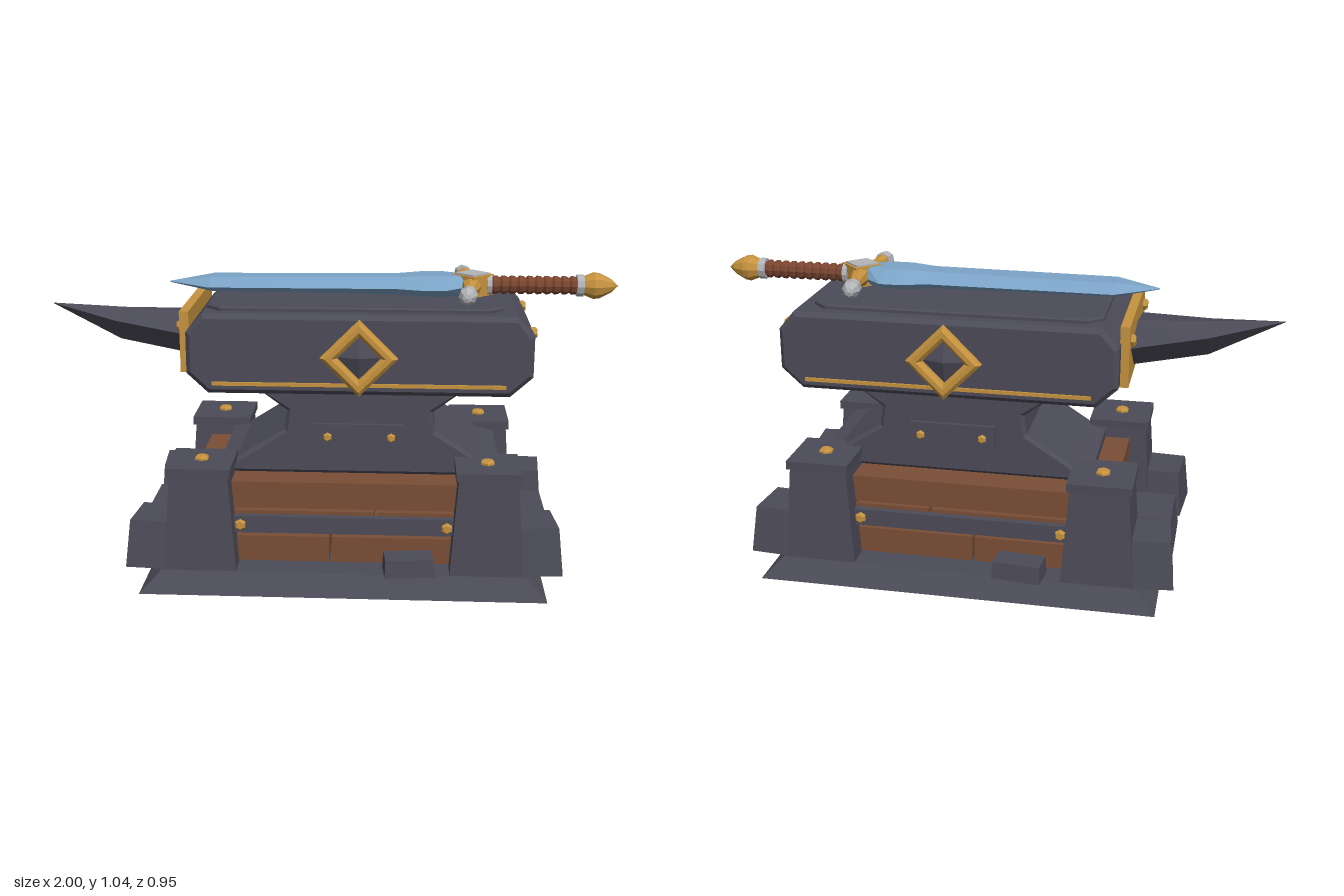
import * as THREE from 'three';

const paint = (name, color) => {
  const m = new THREE.MeshStandardMaterial({ color });
  m.name = name;
  return m;
};

export function createModel() {
  const root = new THREE.Group();
  root.name = 'anvilWithSword';
  const iron = paint('darkIron', 0x4c4b58);
  const wood = paint('wood', 0x7a4e36);
  const gold = paint('gold', 0xc6933f);
  const steel = paint('blueSteel', 0x7ba3c6);
  const silver = paint('silver', 0xb2b4b8);
  const leather = paint('leather', 0x7a4630);

  // ---- helpers ----
  const add = (name, geo, mat, x = 0, y = 0, z = 0, parent = root) => {
    const m = new THREE.Mesh(geo, mat);
    m.name = name;
    m.position.set(x, y, z);
    parent.add(m);
    return m;
  };
  const flat = (g) => {
    const f = g.index ? g.toNonIndexed() : g;
    f.computeVertexNormals();
    return f;
  };
  // box given by its limits
  const block = (name, mat, x0, x1, y0, y1, z0, z1) =>
    add(name, new THREE.BoxGeometry(x1 - x0, y1 - y0, z1 - z0), mat, (x0 + x1) / 2, (y0 + y1) / 2, (z0 + z1) / 2);
  // box standing on y = 0 whose top is smaller
  const taper = (w, d, tw, td, h) => {
    const g = new THREE.BoxGeometry(w, h, d);
    const p = g.attributes.position;
    for (let i = 0; i < p.count; i++) {
      if (p.getY(i) > 0) p.setXYZ(i, p.getX(i) * tw / w, h / 2, p.getZ(i) * td / d);
    }
    g.translate(0, h / 2, 0);
    return flat(g);
  };
  const shapeOf = (pts) => new THREE.Shape(pts.map(([x, y]) => new THREE.Vector2(x, y)));
  // outline extruded to +-half in depth with a small chamfer
  const slab = (shape, half, bevel) => {
    const g = new THREE.ExtrudeGeometry(shape, {
      depth: 2 * (half - bevel), bevelEnabled: true, bevelSegments: 1,
      bevelThickness: bevel, bevelSize: bevel, bevelOffset: -bevel,
    });
    return flat(g.translate(0, 0, -(half - bevel)));
  };
  // skin over rings that follow each other along +x, rings run from +y to +z
  const loft = (rings) => {
    const v = [];
    const tri = (...pts) => pts.forEach((p) => v.push(...p));
    const n = rings[0].length;
    for (let r = 0; r + 1 < rings.length; r++) {
      for (let i = 0; i < n; i++) {
        const j = (i + 1) % n, a = rings[r], b = rings[r + 1];
        tri(a[i], a[j], b[j]);
        tri(a[i], b[j], b[i]);
      }
    }
    const first = rings[0], last = rings[rings.length - 1];
    for (let i = 1; i + 1 < n; i++) {
      tri(first[0], first[i + 1], first[i]);
      tri(last[0], last[i], last[i + 1]);
    }
    const g = new THREE.BufferGeometry();
    g.setAttribute('position', new THREE.Float32BufferAttribute(v, 3));
    g.computeVertexNormals();
    return g;
  };
  const turned = (pts, sides) =>
    flat(new THREE.LatheGeometry(pts.map(([r, y]) => new THREE.Vector2(r, y)), sides));
  const UP = new THREE.Vector3(0, 1, 0);
  const aim = (mesh, x, y, z) => mesh.quaternion.setFromUnitVectors(UP, new THREE.Vector3(x, y, z).normalize());
  const bolt = (r, x, y, z, dx, dy, dz) =>
    aim(add('bolt', turned([[0, -0.01], [r, -0.01], [r, 0.006], [r * 0.7, 0.013], [0, 0.013]], 6), gold, x, y, z), dx, dy, dz);

  // ---- base with corner posts and stones ----
  const CX = 0.06;
  add('basePlate', taper(1.39, 0.95, 1.25, 0.86, 0.07), iron, CX);
  for (const sx of [-1, 1]) {
    for (const sz of [-1, 1]) {
      const x = CX + sx * 0.49, z = sz * 0.305;
      add('cornerPost', taper(0.25, 0.235, 0.2, 0.205, 0.34), iron, x, 0.07, z);
      block('postCap', iron, x - 0.11, x + 0.11, 0.405, 0.435, z - 0.113, z + 0.113);
      bolt(0.026, x, 0.436, z, 0, 1, 0);
      const stone = add('cornerStone', taper(0.2, 0.225, 0.17, 0.175, 0.165), iron, CX + sx * 0.642, 0.07, sz * 0.303);
      stone.rotation.y = 0.08 * sx * sz;
    }
    add('middleStone', taper(0.2, 0.27, 0.17, 0.22, 0.12), iron, CX + sx * 0.63, 0.07, 0);
  }
  add('frontStone', taper(0.17, 0.1, 0.165, 0.09, 0.062), iron, 0.285, 0.07, 0.402).rotation.y = 0.1;
  add('backStone', taper(0.17, 0.1, 0.165, 0.09, 0.062), iron, -0.16, 0.07, -0.402).rotation.y = -0.1;

  // ---- wooden beams with iron strap ----
  const [wx0, wx1, wz] = [-0.47, 0.59, 0.335];
  block('topBeam', wood, wx0, wx1, 0.27, 0.365, -wz, wz);
  for (const [split, y0, y1] of [[0.17, 0.18, 0.261], [0.015, 0.075, 0.167]]) {
    block('beam', wood, wx0, split - 0.005, y0, y1, -wz, wz);
    block('beam', wood, split + 0.005, wx1, y0, y1, -wz, wz);
  }
  for (const s of [-1, 1]) {
    block('strapLong', iron, wx0 - 0.02, wx1 + 0.02, 0.188, 0.248, s * 0.345 - 0.015, s * 0.345 + 0.015);
    const x = CX + s * 0.54;
    block('strapEnd', iron, x - 0.015, x + 0.015, 0.188, 0.248, -0.34, 0.34);
    for (const bx of [-0.295, 0.415]) bolt(0.02, bx, 0.218, s * 0.362, 0, 0, s);
  }

  // ---- anvil waist ----
  const AX = 0.11;
  const side = [[0.49, 0.365], [0.49, 0.4], [0.43, 0.415], [0.262, 0.522], [0.252, 0.592], [0.385, 0.69]];
  const waist = [...side.map(([x, y]) => [AX + x, y]), ...side.map(([x, y]) => [AX - x, y]).reverse()];
  add('anvilWaist', slab(shapeOf(waist), 0.235, 0.012), iron);
  for (const s of [-1, 1]) {
    block('waistPlate', iron, -0.045, 0.26, 0.46, 0.55, s * 0.24 - 0.011, s * 0.24 + 0.011);
    for (const x of [0, 0.22]) bolt(0.016, x, 0.505, s * 0.251, 0, 0, s);
  }

  // ---- anvil head ----
  const head = [[-0.4, 0.677], [0.615, 0.677], [0.69, 0.745], [0.69, 0.885], [0.635, 0.95],
    [-0.415, 0.95], [-0.472, 0.885], [-0.472, 0.745]];
  add('anvilHead', slab(shapeOf(head), 0.336, 0.016), iron);
  const face = [[-0.41, -0.23], [-0.36, -0.28], [0.54, -0.28], [0.59, -0.23],
    [0.59, 0.23], [0.54, 0.28], [-0.36, 0.28], [-0.41, 0.23]];
  add('strikingFace', slab(shapeOf(face), 0.01, 0.005), iron, 0, 0.955, 0).rotation.x = -Math.PI / 2;

  // horn, flat above and pulled up to a point
  const hornRing = (x, top, bottom, w) => {
    const mid = top - (top - bottom) * 0.25;
    return [[x, top, 0], [x, mid, w], [x, bottom, w * 0.4], [x, bottom, -w * 0.4], [x, mid, -w]];
  };
  add('horn', loft([
    hornRing(-1, 0.914, 0.912, 0.002), hornRing(-0.75, 0.902, 0.797, 0.12), hornRing(-0.46, 0.885, 0.752, 0.235),
  ]), iron);

  // ---- gold trim ----
  block('hornBand', gold, -0.5, -0.468, 0.735, 0.945, -0.272, 0.272);
  for (const s of [-1, 1]) {
    bolt(0.021, 0.693, 0.875, s * 0.22, 1, 0, 0);
    bolt(0.021, -0.503, 0.885, s * 0.22, -1, 0, 0);
    block('trimStrip', gold, -0.385, 0.6, 0.708, 0.72, s * 0.336 - 0.008, s * 0.336 + 0.008);
    // diamond emblem with a faceted iron centre
    const diamond = (r) => [[r, 0], [0, r], [-r, 0], [0, -r]];
    const frame = shapeOf(diamond(0.13));
    frame.holes.push(new THREE.Path(diamond(0.074).reverse().map(([x, y]) => new THREE.Vector2(x, y))));
    add('diamondFrame', slab(frame, 0.02, 0.012), gold, AX, 0.81, s * 0.35);
    aim(add('diamondCentre', flat(new THREE.ConeGeometry(0.078, 0.025, 4)), iron, AX, 0.81, s * 0.347), 0, 0, s);
  }

  // ---- sword lying along x ----
  const sword = new THREE.Group();
  sword.name = 'sword';
  sword.position.set(0, 1, 0.02);
  root.add(sword);
  const bladeRing = (x, w, h) => [[x, h, -w * 0.4], [x, h, w * 0.4], [x, 0, w], [x, -h, w * 0.4], [x, -h, -w * 0.4], [x, 0, -w]];
  add('blade', loft([
    bladeRing(-0.57, 0.002, 0.002), bladeRing(-0.42, 0.11, 0.024), bladeRing(0.23, 0.102, 0.03),
    bladeRing(0.32, 0.13, 0.036), bladeRing(0.395, 0.13, 0.036), bladeRing(0.47, 0.06, 0.034),
  ]), steel, 0, 0, 0, sword);

  // guard: block, inlay, two swept arms with pointed tips
  const GX = 0.495;
  add('guardBlock', new THREE.BoxGeometry(0.105, 0.074, 0.105), gold, GX, 0, 0, sword).rotation.y = Math.PI / 4;
  for (const s of [-1, 1]) {
    add('guardInlay', new THREE.BoxGeometry(0.085, 0.008, 0.085), silver, GX, s * 0.038, 0, sword).rotation.y = Math.PI / 4;
    const arm = new THREE.Group();
    arm.name = 'guardArm';
    arm.position.set(GX, 0, 0);
    aim(arm, -0.03, 0, s * 0.255);
    sword.add(arm);
    add('armBar', turned([[0, 0], [0.036, 0.03], [0.034, 0.06], [0.021, 0.14], [0.028, 0.19], [0, 0.19]], 8), gold, 0, 0, 0, arm);
    add('armTip', turned([[0, 0.183], [0.031, 0.183], [0.031, 0.225], [0.016, 0.255], [0, 0.26]], 8), silver, 0, 0, 0, arm);
  }

  // wrapped grip, collars and pommel
  const wraps = [[0, 0.56]];
  for (let i = 0; i < 10; i++) {
    const x = 0.56 + i * 0.03;
    wraps.push([0.026, x], [0.033, x + 0.008], [0.031, x + 0.022], [0.026, x + 0.029]);
  }
  const alongX = (name, pts, sides, mat) =>
    (add(name, turned(pts, sides), mat, 0, 0, 0, sword).rotation.z = -Math.PI / 2);
  alongX('grip', wraps, 10, leather);
  alongX('frontCollar', [[0, 0.54], [0.037, 0.545], [0.037, 0.562], [0, 0.566]], 10, silver);
  alongX('rearCollar', [[0, 0.853], [0.038, 0.856], [0.038, 0.88], [0, 0.884]], 10, silver);
  alongX('pommel', [[0, 0.878], [0.033, 0.88], [0.047, 0.915], [0.044, 0.935], [0.024, 0.975], [0, 1]], 10, gold);

  return root;
}
